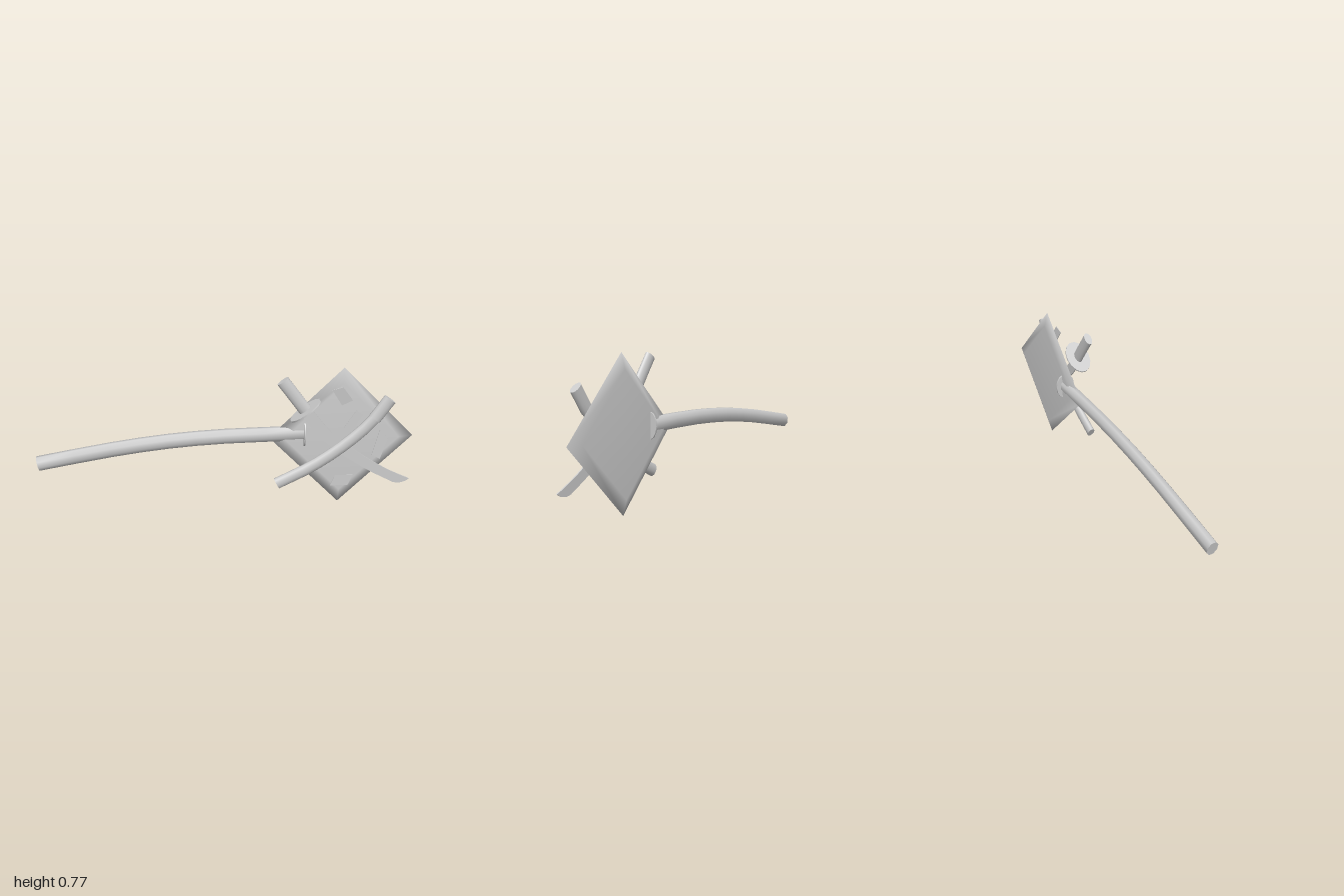
import * as THREE from 'three';

const mat = new THREE.MeshStandardMaterial({ color: 0xcccccc, side: THREE.DoubleSide });
const v = (x, y, z = 0) => new THREE.Vector3(x, y, z);

// Elliptical tube swept along a path in the XY plane, with flat end caps
function sweep(path, steps, halfWidth, halfDepth, sides, t0 = 0, t1 = 1) {
  const curve = new THREE.CatmullRomCurve3(path.map(([x, y]) => v(x, y)));
  const pos = [], idx = [];
  const ring = (t) => {
    const c = curve.getPoint(t), d = curve.getTangent(t);
    for (let j = 0; j < sides; j++) {
      const a = ((j + 0.5) / sides) * Math.PI * 2, w = Math.cos(a) * halfWidth;
      pos.push(c.x - d.y * w, c.y + d.x * w, Math.sin(a) * halfDepth);
    }
  };
  for (let i = 0; i <= steps; i++) ring(t0 + ((t1 - t0) * i) / steps);
  for (let i = 0; i < steps; i++) {
    for (let j = 0; j < sides; j++) {
      const a = i * sides + j, b = i * sides + ((j + 1) % sides);
      idx.push(a, b, a + sides, b, b + sides, a + sides);
    }
  }
  // caps have their own vertices so the rims stay sharp
  [t0, t1].forEach((t, end) => {
    const base = pos.length / 3;
    ring(t);
    for (let j = 1; j < sides - 1; j++) {
      if (end) idx.push(base, base + j, base + j + 1);
      else idx.push(base, base + j + 1, base + j);
    }
  });
  const g = new THREE.BufferGeometry();
  g.setAttribute('position', new THREE.Float32BufferAttribute(pos, 3));
  g.setIndex(idx);
  g.computeVertexNormals();
  return g;
}

// Thin elliptical hand guard whose axis follows the given angle in the XY plane
function guard(inPlane, depth, thickness, angle) {
  const g = new THREE.CylinderGeometry(1, 1, thickness, 14);
  g.scale(inPlane, 1, depth);
  g.rotateZ(angle - Math.PI / 2);
  return g;
}

export function createModel() {
  const model = new THREE.Group();
  const add = (name, geometry, x = 0, y = 0, z = 0, parent = model) => {
    const mesh = new THREE.Mesh(geometry, mat);
    mesh.name = name;
    mesh.position.set(x, y, z);
    parent.add(mesh);
    return mesh;
  };

  // Diamond-shaped board with bevelled rim
  const profile = [[0, -0.021], [0.305, -0.021], [0.384, 0], [0.305, 0.021], [0, 0.021]];
  const board = new THREE.LatheGeometry(profile.map(([r, y]) => new THREE.Vector2(r, y)), 4);
  board.rotateX(Math.PI / 2);
  add('board', board, 0.615, 0.386, -0.045);

  // Long curved handle and its guard
  const handlePath = [[-0.993, 0.26], [-0.6, 0.333], [-0.3, 0.375], [0, 0.398], [0.42, 0.408]];
  add('longHandle', sweep(handlePath, 8, 0.041, 0.031, 8), 0, 0, -0.046);
  add('longHandleGuard', guard(0.073, 0.053, 0.009, 0), 0.418, 0.407, -0.047);

  // Curved scabbard with a slightly wider mouth
  const scabbardPath = [[0.27, 0.153], [0.45, 0.247], [0.61, 0.36], [0.75, 0.49], [0.845, 0.623]];
  add('scabbard', sweep(scabbardPath, 10, 0.032, 0.02, 12), 0, 0, 0.033);
  add('scabbardMouth', sweep(scabbardPath, 3, 0.035, 0.022, 12, 0.8, 1), 0, 0, 0.033);

  // Short sword: grip, guard and curved blade
  const sword = new THREE.Group();
  sword.name = 'shortSword';
  sword.position.z = 0.033;
  model.add(sword);
  add('grip', sweep([[0.288, 0.73], [0.345, 0.655], [0.41, 0.567]], 3, 0.034, 0.02, 12), 0, 0, 0, sword);
  add('swordGuard', guard(0.094, 0.065, 0.008, -0.92), 0.41, 0.567, 0, sword);
  const outline = new THREE.Shape();
  outline.moveTo(0.44, 0.58);
  outline.splineThru([[0.55, 0.445], [0.7, 0.325], [0.85, 0.23], [0.98, 0.168]].map((p) => new THREE.Vector2(...p)));
  outline.quadraticCurveTo(0.94, 0.135, 0.892, 0.15);
  outline.splineThru([[0.75, 0.226], [0.6, 0.324], [0.49, 0.42], [0.385, 0.545]].map((p) => new THREE.Vector2(...p)));
  outline.closePath();
  const blade = new THREE.ExtrudeGeometry(outline, { depth: 0.007, bevelEnabled: false, curveSegments: 10 });
  blade.translate(0, 0, -0.0035);
  add('blade', blade, 0, 0, 0, sword);

  // Small four-cornered tags floating in front of the board: corners, z, tilt
  const tags = [
    [[[0.55, 0.665], [0.605, 0.68], [0.66, 0.605], [0.605, 0.577]], -0.003, 0.1],
    [[[0.81, 0.445], [0.855, 0.39], [0.82, 0.275], [0.775, 0.3]], 0.009, 0],
    [[[0.585, 0.185], [0.68, 0.185], [0.655, 0.125], [0.56, 0.125]], 0.011, 0],
    [[[0.68, 0.555], [0.715, 0.53], [0.66, 0.44], [0.62, 0.46]], 0.008, 0],
    [[[0.485, 0.225], [0.55, 0.245], [0.565, 0.295], [0.5, 0.275]], 0.02, 0],
  ];
  tags.forEach(([corners, z, tilt], i) => {
    const cx = corners.reduce((s, c) => s + c[0], 0) / 4;
    const cy = corners.reduce((s, c) => s + c[1], 0) / 4;
    const shape = new THREE.Shape(corners.map(([x, y]) => new THREE.Vector2(x - cx, y - cy)));
    const g = new THREE.ExtrudeGeometry(shape, { depth: 0.003, bevelEnabled: false });
    add('tag' + (i + 1), g, cx, cy, z).rotation.x = tilt;
  });

  return model;
}
